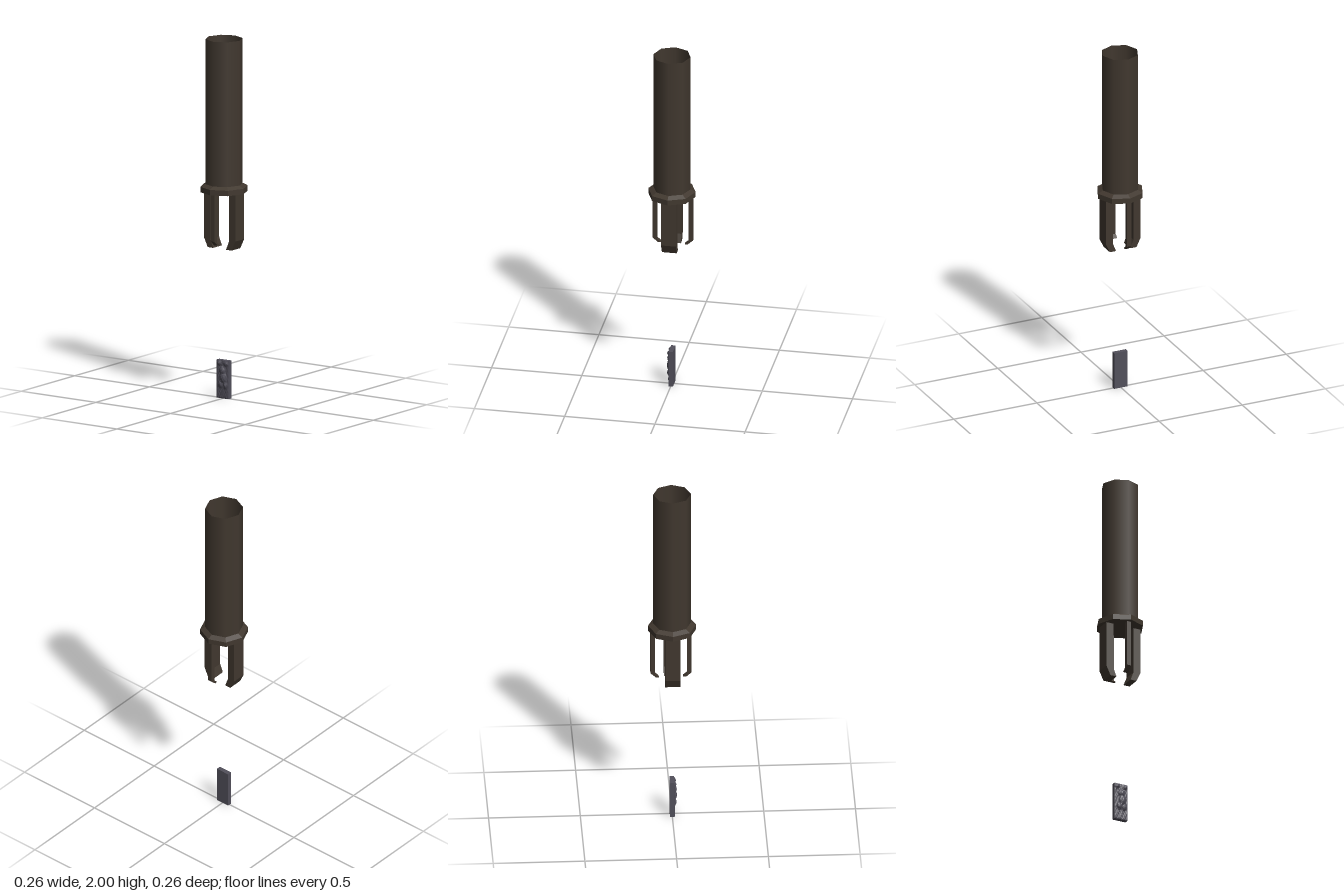
import * as THREE from 'three';

const darkBronze = new THREE.MeshStandardMaterial({ color: 0x41382f, side: THREE.DoubleSide });
const slate = new THREE.MeshStandardMaterial({ color: 0x52505b });

// Facet a geometry so every face keeps its own normal
function faceted(geometry) {
  const g = geometry.index ? geometry.toNonIndexed() : geometry;
  g.computeVertexNormals();
  return g;
}

function addPart(parent, name, geometry, material) {
  const mesh = new THREE.Mesh(geometry, material);
  mesh.name = name;
  parent.add(mesh);
  return mesh;
}

// Prong profile in (outward, up), extruded across its width; points along +x
function prongGeometry(points, width) {
  const shape = new THREE.Shape(points.map(([r, y]) => new THREE.Vector2(r, y)));
  const g = new THREE.ExtrudeGeometry(shape, { depth: width, bevelEnabled: false });
  return g.translate(0, 0, -width / 2);
}

// Height of the carved relief above the plate face
function reliefHeight(x, y) {
  const bump = (cx, cy, rx, ry, h) =>
    h * Math.max(0, 1 - ((x - cx) / rx) ** 2 - ((y - cy) / ry) ** 2);
  const lumps = Math.max(
    bump(0, 0.155, 0.02, 0.025, 0.012),
    bump(0.005, 0.115, 0.024, 0.035, 0.013),
    bump(-0.012, 0.08, 0.018, 0.025, 0.011),
    bump(0.018, 0.075, 0.014, 0.022, 0.009),
    bump(-0.022, 0.195, 0.015, 0.014, 0.008),
    bump(0.022, 0.195, 0.015, 0.014, 0.008),
  );
  const grain = Math.sin(x * 437 + y * 311) * Math.sin(y * 523 - x * 197);
  return lumps + 0.0015 * (1 + grain);
}

export function createModel() {
  const model = new THREE.Group();
  model.name = 'prongedHandle';

  // Hollow octagonal tube, open at the top
  const tube = addPart(model, 'tube', new THREE.CylinderGeometry(0.103, 0.103, 0.82, 8, 1, true), darkBronze);
  tube.position.y = 1.59;

  // Octagonal collar with a closed underside and a bevelled shoulder
  const collarProfile = [[0, 1.15], [0.131, 1.15], [0.131, 1.18], [0.102, 1.195]]
    .map(([r, y]) => new THREE.Vector2(r, y));
  addPart(model, 'collar', faceted(new THREE.LatheGeometry(collarProfile, 8)), darkBronze);

  // Wide prongs on the left and right
  const wide = [[0.062, 1.154], [0.062, 0.885], [0.043, 0.837], [0.08, 0.837], [0.105, 0.89], [0.105, 1.154]];
  for (const [name, turn] of [['leftProng', 0], ['rightProng', Math.PI]]) {
    addPart(model, name, prongGeometry(wide, 0.082), darkBronze).rotation.y = turn;
  }

  // Narrow prongs at the front and back, the back one set further out
  const narrow = [[0.082, 1.154], [0.082, 0.88], [0.06, 0.862], [0.077, 0.862], [0.106, 0.888], [0.106, 1.154]];
  const narrowGeometry = prongGeometry(narrow, 0.025);
  addPart(model, 'frontProng', narrowGeometry, darkBronze).rotation.y = -Math.PI / 2;
  const back = addPart(model, 'backProng', narrowGeometry, darkBronze);
  back.rotation.y = Math.PI / 2;
  back.position.z = -0.012;

  // Separate small tablet below the prongs
  const tablet = new THREE.Group();
  tablet.name = 'tablet';
  addPart(tablet, 'tabletSlab', new THREE.BoxGeometry(0.08, 0.212, 0.025), slate).position.y = 0.106;

  // Carved front face of the tablet
  const relief = new THREE.PlaneGeometry(0.08, 0.212, 14, 32).translate(0, 0.106, 0);
  const p = relief.attributes.position;
  for (let i = 0; i < p.count; i++) {
    const x = p.getX(i), y = p.getY(i);
    const atEdge = Math.abs(x) > 0.0399 || y < 0.0001 || y > 0.2119;
    p.setZ(i, 0.0126 + (atEdge ? 0 : reliefHeight(x, y)));
  }
  addPart(tablet, 'carvedRelief', faceted(relief), slate);
  model.add(tablet);

  return model;
}
